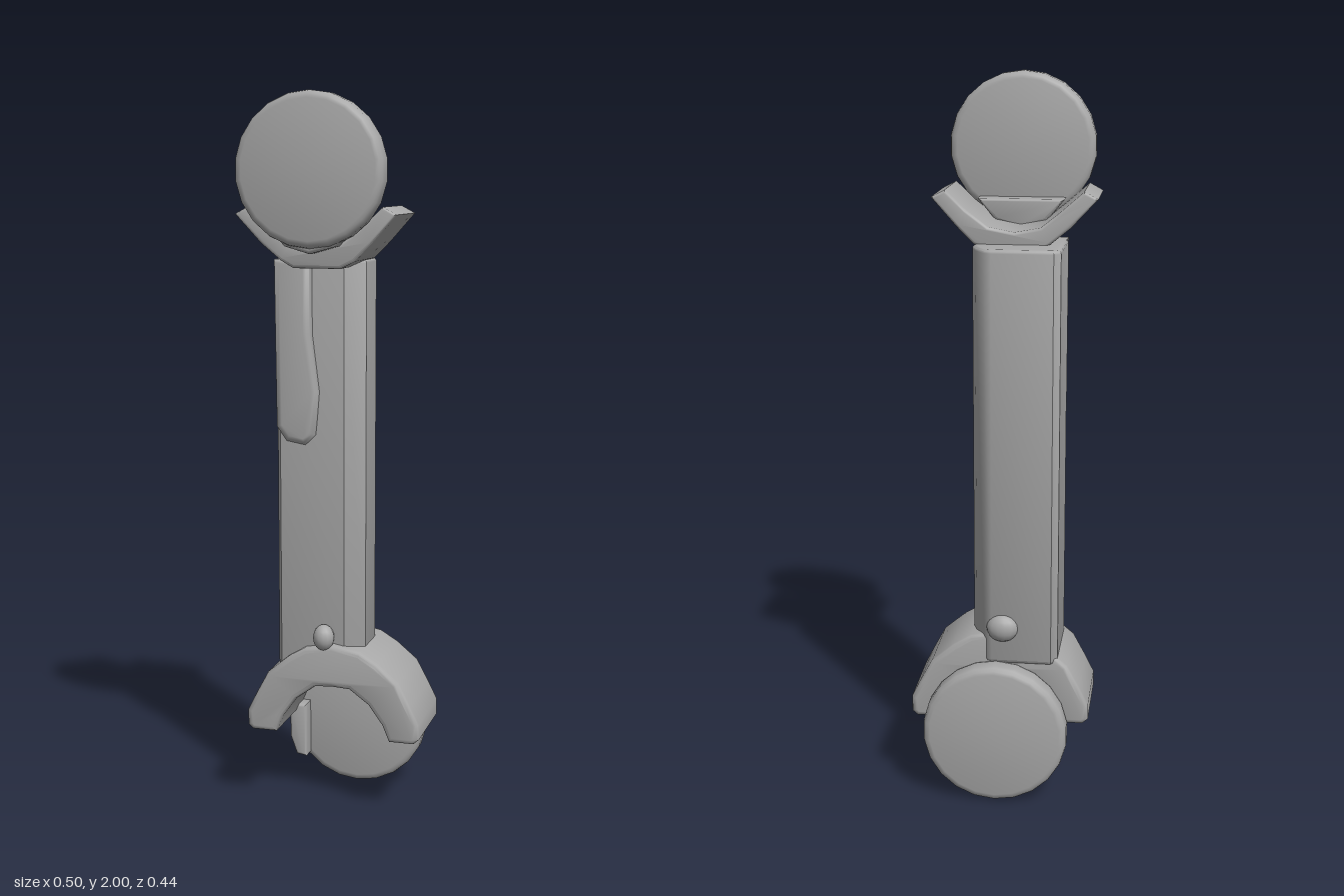
import * as THREE from 'three';
import { toCreasedNormals } from 'three/addons/utils/BufferGeometryUtils.js';

const metal = new THREE.MeshStandardMaterial({ color: 0xa8a8a8 });
metal.name = 'plain grey';

// Outline extruded from z0 to z1 with a rounded rim that stays inside the outline
function slab(points, z0, z1, bevel, crease = 0.7) {
  const shape = new THREE.Shape(points.map(([x, y]) => new THREE.Vector2(x, y)));
  const geo = new THREE.ExtrudeGeometry(shape, {
    depth: z1 - z0 - 2 * bevel, bevelEnabled: true, bevelThickness: bevel,
    bevelSize: bevel, bevelOffset: -bevel, bevelSegments: 3,
  });
  geo.translate(0, 0, z0 + bevel);
  return toCreasedNormals(geo, crease);
}

// Round pad with soft rim, facing along z
function disc(radius, thickness) {
  const h = thickness / 2, r = 0.02;
  const pts = [new THREE.Vector2(0, -h)];
  for (const [cy, a0] of [[-h + r, -Math.PI / 2], [h - r, 0]]) {
    for (let i = 0; i <= 3; i++) {
      const a = a0 + (i / 3) * Math.PI / 2;
      pts.push(new THREE.Vector2(radius - r + r * Math.cos(a), cy + r * Math.sin(a)));
    }
  }
  pts.push(new THREE.Vector2(0, h));
  const geo = new THREE.LatheGeometry(pts, 22);
  geo.rotateX(Math.PI / 2);
  return toCreasedNormals(geo, 0.6);
}

export function createModel() {
  const model = new THREE.Group();
  const add = (name, geo, x = 0, y = 0, z = 0) => {
    const mesh = new THREE.Mesh(geo, metal);
    mesh.name = name;
    mesh.position.set(x, y, z);
    model.add(mesh);
    return mesh;
  };

  // Shaft: section in x and -z, chamfered along its left side
  const shaft = slab([
    [-0.163, -0.06], [-0.153, -0.07], [0.03, -0.07], [0.08, -0.025], [0.08, 0.08],
    [0.068, 0.115], [0.04, 0.158], [0.02, 0.166], [-0.145, 0.166], [-0.163, 0.15],
  ], 0.4, 1.56, 0.01);
  shaft.rotateX(-Math.PI / 2);
  add('shaft', shaft);

  // Shallow raised patch on the upper front, thinning downward
  const patch = slab([
    [-0.163, 1.1], [-0.135, 1.06], [-0.08, 1.05], [-0.05, 1.08], [-0.04, 1.2],
    [-0.06, 1.36], [-0.06, 1.56], [-0.163, 1.56],
  ], 0.04, 0.1, 0.018, 1.2);
  const p = patch.attributes.position;
  for (let i = 0; i < p.count; i++) {
    const t = THREE.MathUtils.clamp((p.getY(i) - 1.03) / 0.3, 0, 1);
    p.setZ(i, 0.04 + (p.getZ(i) - 0.04) * (0.6 + 0.4 * t));
  }
  add('raisedPatch', patch);

  // Upper cradle: shallow trough opening upward
  add('upperCradle', slab([
    [-0.252, 1.682], [-0.18, 1.605], [-0.125, 1.56], [-0.09, 1.54], [0.04, 1.54],
    [0.08, 1.56], [0.125, 1.605], [0.193, 1.682], [0.155, 1.702], [0.1, 1.65],
    [0.04, 1.605], [-0.03, 1.592], [-0.1, 1.605], [-0.15, 1.645], [-0.215, 1.702],
  ], -0.07, 0.15, 0.008));
  add('upperDisc', disc(0.203, 0.072), -0.028, 1.797, 0.183);
  add('upperDiscRoot', slab([
    [-0.15, 1.66], [-0.1, 1.6], [-0.03, 1.58], [0.04, 1.6], [0.09, 1.66],
  ], 0.09, 0.2, 0.01));

  // Lower cradle: arch opening downward, symmetrical about x = 0
  const half = [[0, 0.49], [0.08, 0.475], [0.13, 0.445], [0.19, 0.395], [0.225, 0.33],
    [0.25, 0.28], [0.25, 0.235], [0.235, 0.222], [0.165, 0.222], [0.145, 0.27],
    [0.105, 0.325], [0.05, 0.365], [0, 0.368]];
  const mirrored = half.slice(1, -1).reverse().map(([x, y]) => [-x, y]);
  add('lowerCradle', slab([...half, ...mirrored].reverse(), -0.16, 0.096, 0.014));
  add('lowerDisc', disc(0.203, 0.072), 0.008, 0.203, -0.184);

  // Step where the cradle's right tip runs down into the disc
  add('discStep', slab([
    [-0.185, 0.24], [-0.185, 0.14], [-0.165, 0.085], [-0.135, 0.08], [-0.135, 0.24],
  ], -0.16, -0.1, 0.008));

  // Small knobs on the front and back of the shaft foot
  const ball = new THREE.SphereGeometry(1, 14, 10);
  for (const [name, x, y, z, sx, sy, sz] of [
    ['frontKnob', -0.025, 0.51, 0.085, 0.03, 0.037, 0.03],
    ['backKnob', -0.01, 0.505, -0.16, 0.045, 0.04, 0.031],
  ]) add(name, ball, x, y, z).scale.set(sx, sy, sz);

  return model;
}
